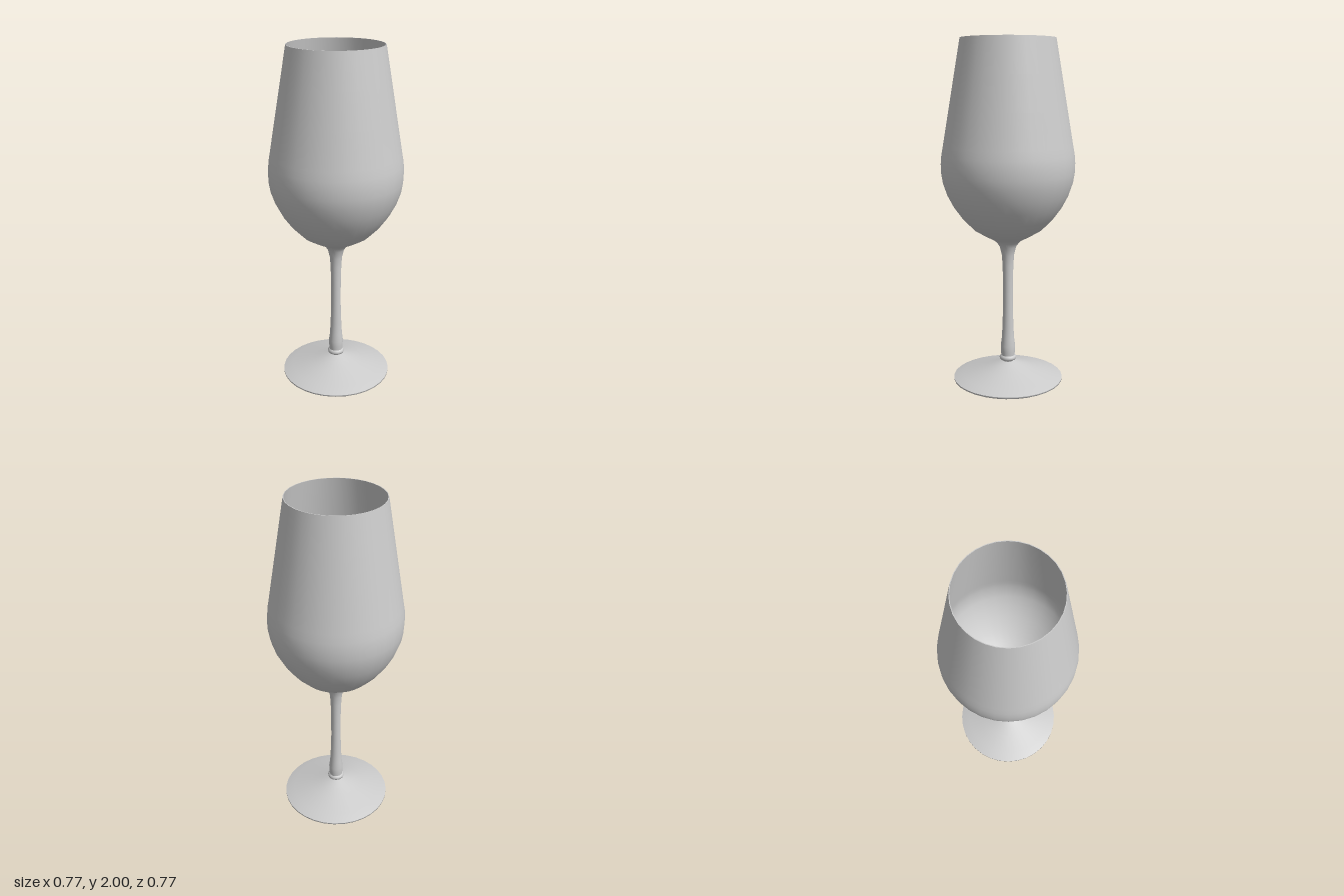
import * as THREE from 'three';

const SIDES = 32;

export function createModel() {
  const group = new THREE.Group();
  const material = new THREE.MeshStandardMaterial({ color: 0xcccccc });

  // Each part is turned from a profile of [radius, height] points
  const turn = (name, ...profiles) => {
    const part = new THREE.Group();
    part.name = name;
    for (const profile of profiles) {
      const points = profile.map(([r, y]) => new THREE.Vector2(r, y));
      const mesh = new THREE.Mesh(new THREE.LatheGeometry(points, SIDES), material);
      mesh.name = name + 'Surface';
      part.add(mesh);
    }
    group.add(part);
  };

  // Bowl: outer wall, then a thin rim, then the inner wall down to the centre
  const outer = [
    [0.085, 0.852], [0.135, 0.878], [0.2, 0.917], [0.262, 0.98], [0.313, 1.05], [0.35, 1.12],
    [0.374, 1.19], [0.383, 1.245], [0.385, 1.3], [0.381, 1.35], [0.372, 1.4],
    [0.338, 1.6], [0.304, 1.8], [0.27, 2],
  ];
  const inner = outer.slice(1).reverse().map(([r, y]) => [r - 0.004, y < 1.2 ? y + 0.005 : y]);
  inner.push([0.08, 0.866], [0, 0.855]);
  turn('bowl', outer, [[0.27, 2], [0.266, 2]], inner);

  // Stem: flares out under the bowl and swells a little towards its base
  turn('stem', [
    [0.04, 0.145], [0.042, 0.17], [0.043, 0.205], [0.037, 0.25], [0.033, 0.32], [0.029, 0.45],
    [0.029, 0.6], [0.032, 0.7], [0.036, 0.76], [0.048, 0.81], [0.065, 0.836], [0.085, 0.852],
  ]);

  // Collar: small ring between stem and foot
  turn('collar', [
    [0.032, 0.108], [0.036, 0.115], [0.047, 0.12], [0.05, 0.13], [0.047, 0.139], [0.04, 0.145],
  ]);

  // Foot: slightly hollow underside, thin edge, and a shallow cone on top
  turn('foot',
    [[0, 0.012], [0.16, 0.008], [0.315, 0]],
    [[0.315, 0], [0.325, 0.006], [0.325, 0.014]],
    [[0.325, 0.014], [0.27, 0.034], [0.16, 0.066], [0.08, 0.094], [0.032, 0.11]]);

  return group;
}
